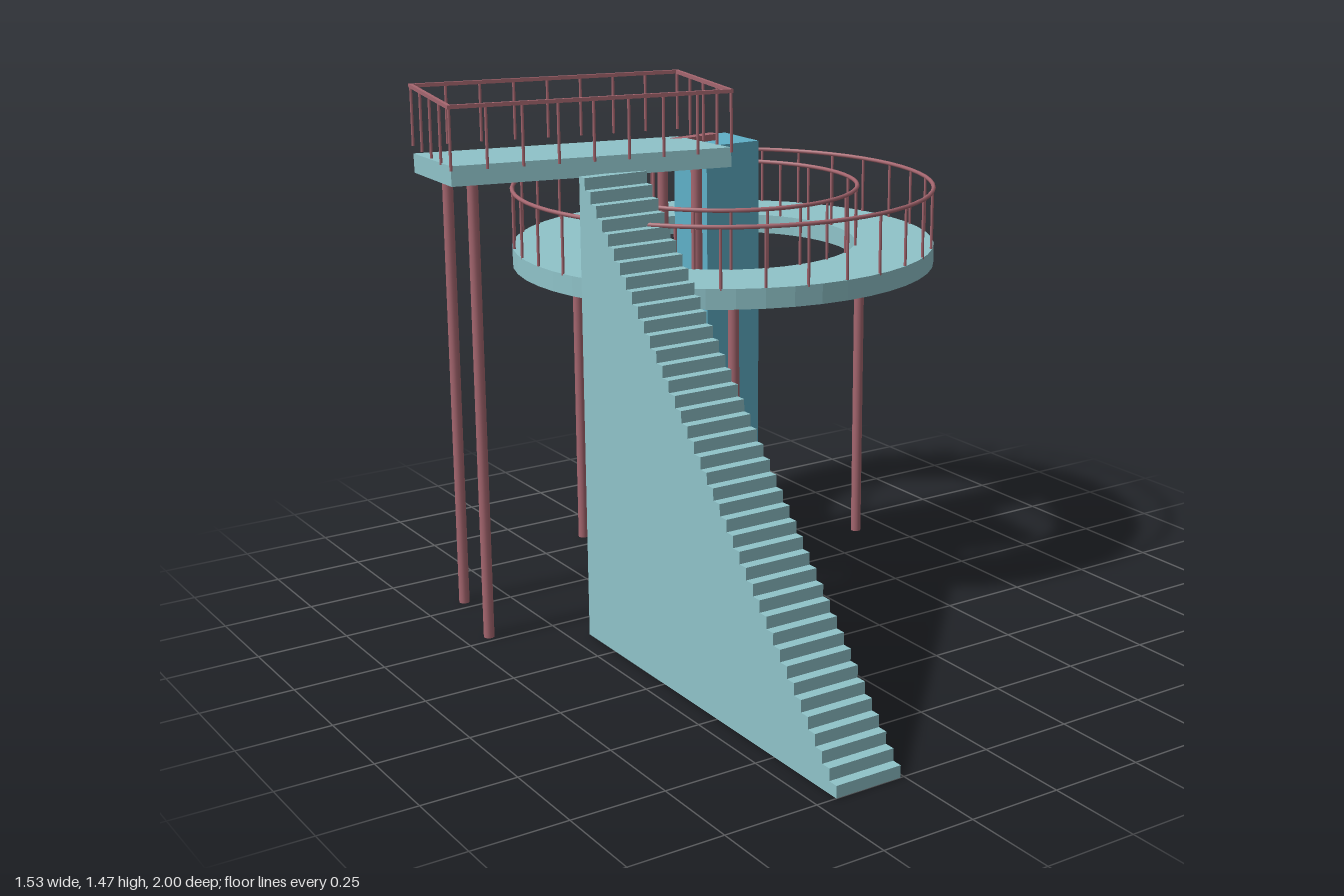
import * as THREE from 'three';

const deckMat = new THREE.MeshStandardMaterial({ name: 'pale teal', color: 0x8fc3c9, flatShading: true });
const columnMat = new THREE.MeshStandardMaterial({ name: 'blue', color: 0x5fb0c8 });
const steelMat = new THREE.MeshStandardMaterial({ name: 'dusty maroon', color: 0xa5666f });

function add(parent, name, geo, mat, x = 0, y = 0, z = 0) {
  const mesh = new THREE.Mesh(geo, mat);
  mesh.name = name;
  mesh.position.set(x, y, z);
  parent.add(mesh);
  return mesh;
}

function pole(parent, name, x, z, y0, y1, r, sides) {
  return add(parent, name, new THREE.CylinderGeometry(r, r, y1 - y0, sides), steelMat, x, (y0 + y1) / 2, z);
}

// Solid flight of steps, extruded from its side profile
function buildStairs(parent) {
  const steps = 40, run = 1.14 / steps, rise = 1.265 / steps;
  const s = new THREE.Shape();
  s.moveTo(-1, 0);
  for (let i = 0; i < steps; i++) {
    s.lineTo(-1 + i * run, (i + 1) * rise);
    s.lineTo(-1 + (i + 1) * run, (i + 1) * rise);
  }
  s.lineTo(0.14, 0);
  s.closePath();
  const geo = new THREE.ExtrudeGeometry(s, { depth: 0.185, bevelEnabled: false });
  geo.rotateY(Math.PI / 2);
  add(parent, 'stairs', geo, deckMat, -0.445, 0, 0);
}

// Rectangular platform: tilted deck, level railing, four legs
function buildPlatform(parent) {
  const g = new THREE.Group();
  g.name = 'platform';
  g.position.set(-0.352, 0, -0.349);
  g.rotation.y = -0.206;
  parent.add(g);
  const L = 0.756, W = 0.414;
  const deck = add(g, 'platformDeck', new THREE.BoxGeometry(L, 0.052, W), deckMat, 0, 1.268, 0);
  deck.rotation.x = -0.08;

  for (const s of [-1, 1]) {
    add(g, 'longRail', new THREE.BoxGeometry(L + 0.01, 0.01, 0.01), steelMat, 0, 1.46, s * W / 2);
    add(g, 'shortRail', new THREE.BoxGeometry(0.01, 0.01, W), steelMat, s * L / 2, 1.46, 0);
    for (let i = 0; i <= 8; i++) pole(g, 'railPost', (i / 8 - 0.5) * L, s * W / 2, 1.298, 1.46, 0.004, 6);
    for (let i = 1; i < 4; i++) pole(g, 'railPost', s * L / 2, (i / 4 - 0.5) * W, 1.298, 1.46, 0.004, 6);
    for (const t of [-1, 1]) pole(g, 'platformLeg', s * 0.306, t * 0.134, 0, 1.25, 0.015, 12);
  }
}

// Ring walkway with inner and outer railings on three legs
function buildRing(parent) {
  const g = new THREE.Group();
  g.name = 'ringWalkway';
  g.position.set(0.162, 0, -0.396);
  parent.add(g);
  const R = 0.6, r = 0.377, y0 = 0.925, y1 = 0.98;
  const profile = [[r, y0], [R, y0], [R, y1], [r, y1], [r, y0]].map(p => new THREE.Vector2(...p));
  add(g, 'ringDeck', new THREE.LatheGeometry(profile, 48), deckMat);

  for (const [radius, count] of [[R - 0.004, 32], [r + 0.004, 24]]) {
    const rail = new THREE.TorusGeometry(radius, 0.006, 8, 64);
    rail.rotateX(Math.PI / 2);
    add(g, 'ringRail', rail, steelMat, 0, 1.142, 0);
    for (let i = 0; i < count; i++) {
      const a = i / count * Math.PI * 2;
      pole(g, 'ringRailPost', Math.cos(a) * radius, Math.sin(a) * radius, y1 - 0.005, 1.142, 0.004, 6);
    }
  }
  for (let i = 0; i < 3; i++) {
    const a = i / 3 * Math.PI * 2;
    pole(g, 'ringLeg', Math.cos(a) * 0.488, Math.sin(a) * 0.488, 0, 0.94, 0.015, 12);
  }
}

export function createModel() {
  const model = new THREE.Group();
  model.name = 'lookoutStructure';
  buildStairs(model);
  buildPlatform(model);
  buildRing(model);

  // Square column tied to the platform by a short beam
  add(model, 'column', new THREE.BoxGeometry(0.174, 1.265, 0.172), columnMat, 0.163, 0.6325, -0.433);
  const beam = add(model, 'tieBeam', new THREE.BoxGeometry(0.15, 0.03, 0.03), steelMat, 0.085, 1.268, -0.427);
  beam.rotation.y = 0.13;
  return model;
}
